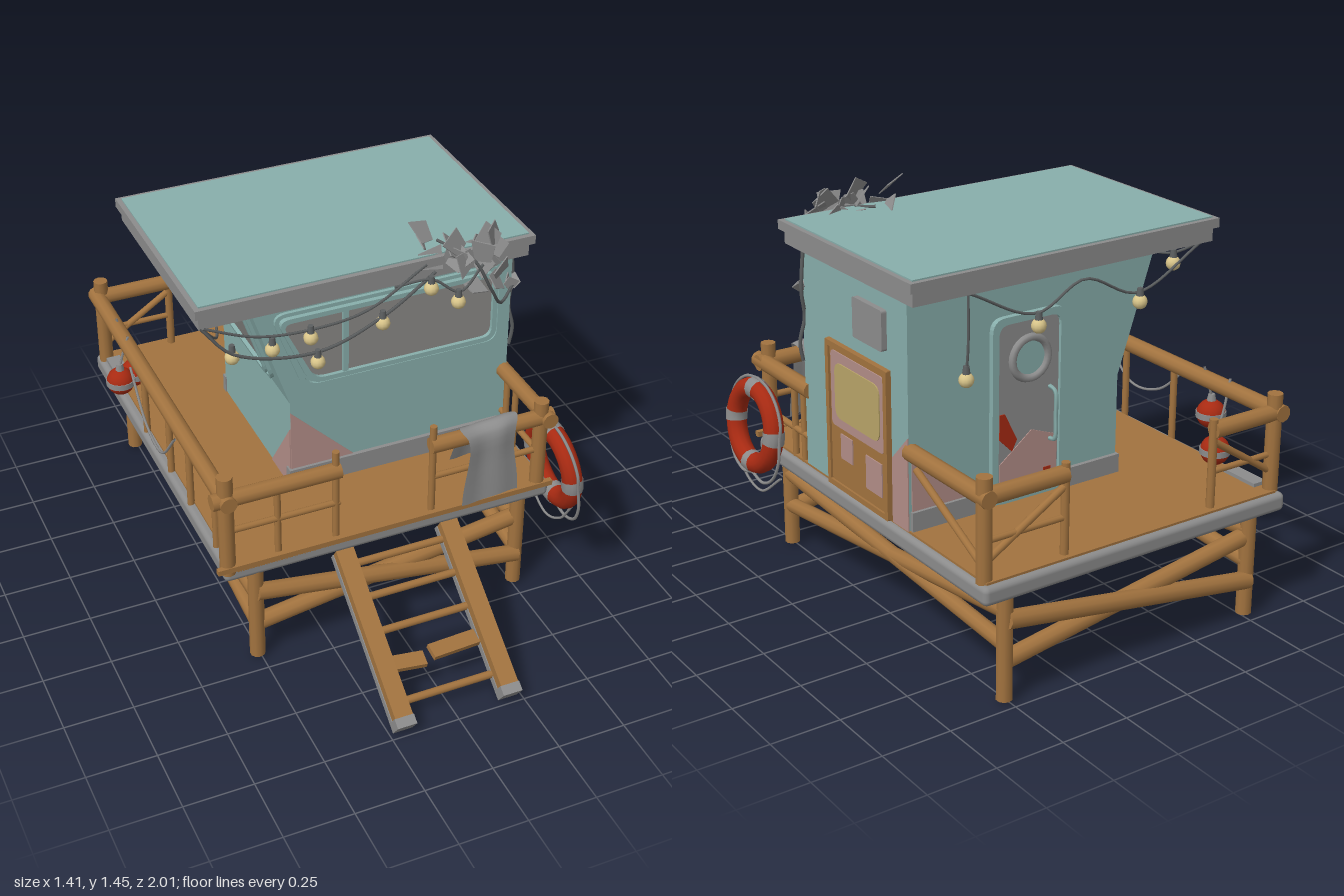
import * as THREE from 'three';
import { RoundedBoxGeometry } from 'three/addons/geometries/RoundedBoxGeometry.js';

const V = (x, y, z) => new THREE.Vector3(x, y, z);

function mat(name, color, side = THREE.FrontSide) {
  const m = new THREE.MeshStandardMaterial({ color, side });
  m.name = name;
  return m;
}

export function createModel() {
  const root = new THREE.Group();
  root.name = 'beachHut';
  const wood = mat('wood', 0xa2733f), grey = mat('weatheredGrey', 0x8c8c8c, THREE.DoubleSide);
  const teal = mat('tealPaint', 0x88aeab), pink = mat('wornPink', 0xb38e88), red = mat('red', 0xa82a12);
  const cream = mat('bulbCream', 0xd9c58a), yellow = mat('curtainYellow', 0xb9a468), glass = mat('glass', 0x8a8886);
  const wire = mat('wire', 0x5c5f60);

  const add = (name, geo, m, parent = root) => {
    const mesh = new THREE.Mesh(geo, m);
    mesh.name = name;
    parent.add(mesh);
    return mesh;
  };
  // box given by its min and max on each axis
  const box = (name, m, x0, x1, y0, y1, z0, z1, parent) => {
    const b = add(name, new THREE.BoxGeometry(x1 - x0, y1 - y0, z1 - z0), m, parent);
    b.position.set((x0 + x1) / 2, (y0 + y1) / 2, (z0 + z1) / 2);
    return b;
  };
  // round pole between two points
  const pole = (name, a, b, r, m = wood) => {
    const p = add(name, new THREE.CylinderGeometry(r, r, a.distanceTo(b), 10), m);
    p.position.copy(a).lerp(b, 0.5);
    p.quaternion.setFromUnitVectors(V(0, 1, 0), b.clone().sub(a).normalize());
    return p;
  };
  const cord = (name, pts, r, m = wire, parent = root) => add(name,
    new THREE.TubeGeometry(new THREE.CatmullRomCurve3(pts.map(p => V(...p))), pts.length * 6, r, 5), m, parent);
  // polygon with rounded corners
  const rounded = (pts, r) => {
    const s = new THREE.Shape(), n = pts.length, P = pts.map(p => new THREE.Vector2(...p));
    P.forEach((p, i) => {
      const a = P[(i + n - 1) % n].clone().sub(p).setLength(r).add(p);
      const b = P[(i + 1) % n].clone().sub(p).setLength(r).add(p);
      i ? s.lineTo(a.x, a.y) : s.moveTo(a.x, a.y);
      s.quadraticCurveTo(p.x, p.y, b.x, b.y);
    });
    s.closePath();
    return s;
  };
  const rect = (x0, x1, y0, y1) => [[x0, y0], [x1, y0], [x1, y1], [x0, y1]];
  const inset = (pts, d) => {
    const cx = pts.reduce((s, p) => s + p[0], 0) / pts.length, cy = pts.reduce((s, p) => s + p[1], 0) / pts.length;
    return pts.map(([x, y]) => [x - d * Math.sign(x - cx), y - d * Math.sign(y - cy)]);
  };
  const plate = (name, m, pts, r, depth, parent, hole) => {
    const s = r ? rounded(pts, r) : new THREE.Shape(pts.map(p => new THREE.Vector2(...p)));
    if (hole) s.holes.push(rounded(inset(pts, hole), r * 0.8));
    return add(name, new THREE.ExtrudeGeometry(s, { depth, bevelEnabled: false, curveSegments: 6 }), m, parent);
  };
  // wall group whose local z points out of the wall
  const wall = (name, ax, ay, origin) => {
    const g = new THREE.Group();
    g.name = name;
    g.matrix.makeBasis(ax, ay, ax.clone().cross(ay)).setPosition(origin);
    g.matrix.decompose(g.position, g.quaternion, g.scale);
    root.add(g);
    return g;
  };

  // legs and cross braces
  const LX = 0.51, ZF = 0.42, ZB = -0.95;
  for (const x of [-LX, LX]) {
    for (const z of [ZF, ZB]) pole('leg', V(x, 0.02, z), V(x, 0.42, z), 0.028);
    pole('sideBrace', V(x, 0.3, ZF), V(x, 0.22, ZB), 0.028);
    pole('sideBrace', V(x, 0.17, ZF), V(x, 0.34, ZB), 0.028);
  }
  for (const z of [ZF, ZB]) for (const s of [-1, 1])
    pole('crossBrace', V(-LX * s, 0.31, z + 0.012 * s), V(LX * s, 0.15, z + 0.012 * s), 0.032);

  // deck with rounded edge beams
  box('deck', wood, -0.6, 0.6, 0.435, 0.472, -0.98, 0.45);
  box('deckLip', wood, -0.66, 0.62, 0.457, 0.477, 0.45, 0.47);
  const edge = (w, d, x, z) => add('edgeBeam', new RoundedBoxGeometry(w, 0.068, d, 2, 0.02), grey).position.set(x, 0.43, z);
  for (const x of [-0.595, 0.585]) edge(0.07, 1.45, x, -0.275);
  edge(1.2, 0.05, 0, 0.425);
  edge(1.2, 0.05, 0, -0.975);
  box('loosePlank', grey, -0.61, -0.555, 0.47, 0.485, -0.92, -0.75);

  // stairs
  const dir = V(0, -0.36, 0.51).normalize(), tilt = Math.atan2(0.36, 0.51);
  for (const x of [-0.2, 0.2]) {
    const g = new THREE.Group();
    g.name = 'stringer';
    g.position.set(x, 0.225, 0.725);
    g.rotation.x = tilt;
    root.add(g);
    box('stringerTop', wood, -0.033, 0.033, -0.005, 0.033, -0.32, 0.29, g);
    box('stringerUnderside', grey, -0.036, 0.036, -0.033, -0.005, -0.32, 0.3, g);
    box('stringerFoot', grey, -0.036, 0.036, -0.033, 0.034, 0.29, 0.325, g);
  }
  for (const i of [0, 1, 2, 4]) pole('rung', V(-0.17, 0.375 - i * 0.074, 0.5 + i * 0.102), V(0.17, 0.375 - i * 0.074, 0.5 + i * 0.102), 0.014);
  for (const [s, y, len] of [[-1, 0.145, 0.13], [1, 0.16, 0.19]]) {
    const b = box('brokenRung', wood, -len / 2, len / 2, -0.01, 0.01, -0.028, 0.028);
    b.position.set(s * (0.17 - len / 2), y, 0.8);
    b.rotation.set(0.3, 0.08 * s, -0.08);
  }

  // railings
  const rail = (a, b, y = 0.75, r = 0.03) => pole('rail', V(a[0], y, a[1]), V(b[0], y, b[1]), r);
  const post = (x, z, top = 0.83, r = 0.027, y0 = 0.46) => pole('post', V(x, y0, z), V(x, top, z), r);
  post(-0.615, 0.44, 0.845, 0.028, 0.44);
  post(0.57, 0.44, 0.82);
  post(-0.6, ZB, 0.82);
  post(0.59, ZB, 0.82);
  rail([-0.665, 0.44], [-0.2, 0.44]);
  rail([0.14, 0.44], [0.615, 0.44]);
  rail([-0.62, 0.44], [-0.2, 0.44], 0.615, 0.012);
  rail([0.15, 0.44], [0.57, 0.44], 0.615, 0.012);
  for (const x of [-0.215, 0.15]) post(x, 0.44, 0.83, 0.013);
  for (const x of [-0.43, 0.36]) post(x, 0.44, 0.74, 0.012);
  rail([-0.615, 0.48], [-0.615, -0.98]);
  for (const z of [-0.42, -0.15, 0.06, 0.32]) post(-0.61, z, 0.75, 0.013);
  rail([0.59, 0.48], [0.59, 0.1]);
  rail([0.59, 0.44], [0.59, 0.12], 0.57, 0.012);
  for (const z of [0.22, 0.155]) post(0.59, z, 0.75, 0.012);
  rail([0.59, -0.53], [0.59, -0.98]);
  pole('railBrace', V(0.59, 0.7, -0.57), V(0.59, 0.52, -0.93), 0.013);
  for (const [x0, x1] of [[-0.62, -0.33], [0.6, 0.28]]) {
    rail([x0, ZB], [x1, ZB]);
    post(x1, ZB, 0.79, 0.015);
    pole('railBrace', V(x0, 0.52, ZB), V(x1, 0.71, ZB), 0.013);
    rail([x0, ZB], [x1, ZB], 0.6, 0.011);
  }

  // cabin body: outline pushed back along z
  const cabin = plate('cabin', teal, [[-0.25, 0.47], [0.6, 0.47], [0.6, 1.28], [-0.4, 1.28], [-0.25, 0.83]], 0, 0.66, root);
  cabin.position.z = -0.54;
  box('frontSkirt', grey, -0.26, 0.57, 0.47, 0.55, 0.1, 0.135);
  box('backSkirt', grey, 0.3, 0.595, 0.47, 0.54, -0.555, -0.53);
  box('backSkirt', grey, -0.255, -0.03, 0.47, 0.54, -0.555, -0.53);

  // roof
  box('roofBand', grey, -0.595, 0.62, 1.265, 1.315, -0.605, 0.195);
  box('roofTrim', grey, -0.61, 0.636, 1.315, 1.348, -0.62, 0.21);
  box('roofSheet', teal, -0.592, 0.618, 1.346, 1.353, -0.602, 0.192);

  const front = wall('frontWall', V(1, 0, 0), V(0, 1, 0), V(0, 0, 0.12));
  const back = wall('backWall', V(-1, 0, 0), V(0, 1, 0), V(0, 0, -0.54));
  const right = wall('doorWall', V(0, 0, -1), V(0, 1, 0), V(0.6, 0, 0));
  const left = wall('lowerSideWall', V(0, 0, 1), V(0, 1, 0), V(-0.25, 0, 0));
  const slant = wall('slantedWall', V(0, 0, 1), V(-0.15, 0.45, 0).normalize(), V(-0.25, 0.83, 0));

  // windows with a double frame
  const win = (g, pts) => {
    plate('windowGlass', glass, inset(pts, 0.03), 0.05, 0.006, g);
    plate('windowOuterFrame', teal, pts, 0.06, 0.013, g, 0.014);
    plate('windowInnerFrame', teal, inset(pts, 0.021), 0.05, 0.02, g, 0.018);
  };
  win(front, [[-0.2, 0.885], [0.56, 0.885], [0.56, 1.21], [-0.32, 1.21]]);
  box('mullion', teal, -0.055, -0.035, 0.91, 1.18, 0, 0.018, front);
  win(slant, rect(-0.46, 0.04, 0.05, 0.41));

  // worn paint patches
  plate('paintPatch', pink, [[-0.25, 0.55], [-0.01, 0.55], [-0.25, 0.79]], 0, 0.004, front);
  plate('paintPatch', pink, [[-0.59, 0.54], [-0.32, 0.54], [-0.59, 0.77]], 0, 0.004, back);
  plate('paintPatch', pink, [[0.445, 0.47], [0.54, 0.47], [0.54, 0.8], [0.445, 0.7]], 0, 0.004, right);
  plate('paintPatch', pink, [[-0.06, 0.47], [0.12, 0.47], [0.12, 0.72]], 0, 0.004, left);

  // wooden side door and vent
  plate('sideDoor', wood, rect(0.055, 0.44, 0.472, 1.0), 0, 0.012, right);
  plate('sideDoorFrame', wood, rect(0.055, 0.44, 0.472, 1.0), 0.004, 0.02, right, 0.02);
  plate('doorWornPaint', pink, rect(0.085, 0.415, 0.7, 0.97), 0.02, 0.016, right);
  plate('doorCurtain', yellow, rect(0.115, 0.395, 0.735, 0.935), 0.04, 0.02, right);
  plate('doorPatch', pink, rect(0.14, 0.215, 0.59, 0.68), 0, 0.016, right);
  plate('doorPatch', pink, rect(0.3, 0.4, 0.54, 0.66), 0, 0.016, right);
  plate('vent', grey, rect(0.24, 0.42, 1.06, 1.2), 0.01, 0.02, right);

  // back door with porthole and handle
  const doorPts = rect(-0.285, 0.015, 0.48, 1.14);
  plate('backDoor', grey, inset(doorPts, 0.02), 0.04, 0.008, back);
  plate('backDoorFrame', teal, doorPts, 0.05, 0.02, back, 0.025);
  plate('backDoorWornPaint', pink, [[-0.25, 0.51], [-0.015, 0.51], [-0.015, 0.68], [-0.12, 0.72], [-0.25, 0.62]], 0, 0.011, back);
  plate('redFlake', red, [[-0.25, 0.71], [-0.2, 0.66], [-0.18, 0.7], [-0.23, 0.8], [-0.25, 0.8]], 0, 0.012, back);
  plate('redFlake', red, rect(-0.07, -0.04, 0.52, 0.57), 0, 0.013, back);
  add('portholeRing', new THREE.TorusGeometry(0.072, 0.014, 8, 28), grey, back).position.set(-0.13, 0.98, 0.012);
  add('portholeGlass', new THREE.CircleGeometry(0.07, 28), teal, back).position.set(-0.13, 0.98, 0.012);
  cord('doorHandle', [[-0.045, 0.67, 0], [-0.045, 0.68, 0.04], [-0.045, 0.76, 0.045], [-0.045, 0.85, 0.04], [-0.045, 0.86, 0]], 0.008, teal, back);

  // towel draped over the front rail
  const path = new THREE.CatmullRomCurve3([V(0, 0.49, 0.482), V(0, 0.65, 0.48), V(0, 0.77, 0.476), V(0, 0.793, 0.44), V(0, 0.76, 0.395), V(0, 0.6, 0.35)]);
  const towel = new THREE.PlaneGeometry(0.2, 1, 10, 18), tp = towel.attributes.position;
  for (let i = 0; i < tp.count; i++) {
    const x = tp.getX(i), t = tp.getY(i) + 0.5, p = path.getPoint(t);
    tp.setXYZ(i, 0.36 + x * (1 + 0.12 * Math.cos(t * 11)), p.y + 0.008 * Math.sin(x * 28), p.z + 0.005 * Math.sin(x * 45));
  }
  towel.computeVertexNormals();
  add('towel', towel, grey);

  // life ring with bands and grab rope
  const ring = new THREE.Group(), ringTilt = new THREE.Group();
  ring.name = 'lifeRing';
  ring.rotation.y = Math.PI / 2;
  ringTilt.name = 'lifeRingMount';
  ringTilt.position.set(0.645, 0.52, 0.425);
  ringTilt.rotation.z = 0.1;
  ringTilt.add(ring);
  root.add(ringTilt);
  add('ringBody', new THREE.TorusGeometry(0.14, 0.037, 12, 40), red, ring);
  for (let i = 0; i < 4; i++) {
    const a = i * Math.PI / 2;
    add('ringBand', new THREE.TorusGeometry(0.14, 0.04, 12, 6, 0.3), grey, ring).rotation.z = a - 0.15;
    const pts = [0, 0.25, 0.5, 0.75, 1].map(t => {
      const q = a + t * Math.PI / 2, r = 0.182 + 0.02 * Math.sin(t * Math.PI);
      return [r * Math.cos(q), r * Math.sin(q) - 0.02 * Math.sin(t * Math.PI), 0];
    });
    cord('grabRope', pts, 0.006, grey, ring);
  }
  cord('looseRope', [[0.66, 0.4, 0.55], [0.655, 0.3, 0.48], [0.645, 0.27, 0.4], [0.63, 0.36, 0.27]], 0.005, grey);

  // hanging float buoys
  for (const [x, y, z] of [[-0.655, 0.605, -0.575], [-0.56, 0.535, -0.71]]) {
    add('buoy', new THREE.SphereGeometry(0.053, 16, 12), red).position.set(x, y, z);
    add('buoyBand', new THREE.CylinderGeometry(0.055, 0.055, 0.022, 16), grey).position.set(x, y, z);
    add('buoyCap', new THREE.CylinderGeometry(0.012, 0.018, 0.03, 8), grey).position.set(x, y + 0.06, z);
    cord('buoyRope', [[x, y + 0.06, z], [(x - 0.615) / 2, y + 0.13, z], [-0.615, 0.79, z]], 0.005, grey);
  }
  cord('railRope', [[-0.65, 0.74, -0.45], [-0.655, 0.6, -0.28], [-0.655, 0.58, -0.12], [-0.65, 0.74, 0.04]], 0.005, grey);

  // string lights
  cord('lightWire', [[-0.59, 1.27, 0.19], [-0.48, 1.15, 0.21], [-0.185, 1.09, 0.22], [0.055, 1.17, 0.22], [0.25, 1.3, 0.22]], 0.006);
  cord('lightWire', [[-0.58, 1.27, 0.2], [-0.4, 1.2, 0.21], [-0.21, 1.185, 0.22], [0, 1.21, 0.22], [0.22, 1.33, 0.21]], 0.005);
  cord('lightWire', [[0.1, 1.27, 0.21], [0.23, 1.28, 0.23], [0.33, 1.22, 0.25], [0.42, 1.3, 0.24]], 0.005);
  cord('lightWire', [[-0.59, 1.27, 0.19], [-0.5, 1.16, 0.1], [-0.45, 1.22, -0.2], [-0.48, 1.22, -0.52], [-0.55, 1.27, -0.6]], 0.005);
  cord('lightWire', [[-0.55, 1.27, -0.6], [-0.28, 1.14, -0.6], [-0.05, 1.23, -0.6], [0.14, 1.15, -0.6], [0.41, 1.27, -0.6]], 0.005);
  cord('lightWire', [[0.41, 1.27, -0.6], [0.41, 1.1, -0.6], [0.41, 1.0, -0.59]], 0.005);
  const bulbs = [[-0.48, 1.19, -0.54], [-0.467, 1.1, 0.15], [-0.345, 1.135, 0.21], [-0.21, 1.153, 0.22], [-0.185, 1.05, 0.22],
    [0.055, 1.145, 0.22], [0.23, 1.245, 0.23], [0.325, 1.18, 0.25], [0.41, 0.975, -0.59], [0.14, 1.11, -0.61], [-0.28, 1.11, -0.61]];
  for (const [x, y, z] of bulbs) {
    add('bulb', new THREE.SphereGeometry(0.026, 12, 8), cream).position.set(x, y, z);
    add('bulbSocket', new THREE.CylinderGeometry(0.01, 0.014, 0.03, 8), wire).position.set(x, y + 0.034, z);
  }

  // climbing vine and leaves
  cord('vine', [[0.3, 1.36, 0.12], [0.38, 1.33, 0.24], [0.45, 1.2, 0.25], [0.52, 1.1, 0.2], [0.605, 1.12, 0.13]], 0.006);
  cord('vine', [[0.605, 1.26, 0.1], [0.615, 1.12, 0.1], [0.6, 1.02, 0.11], [0.615, 0.93, 0.12], [0.605, 0.86, 0.12]], 0.007);
  let seed = 7;
  const rnd = () => (seed = (seed * 16807) % 2147483647) / 2147483647 - 0.5;
  const leaf = (x, y, z, s) => {
    const l = plate('leaf', grey, [[-0.3 * s, -0.5 * s], [0.35 * s, -0.45 * s], [0.5 * s, 0.4 * s], [-0.5 * s, 0.5 * s]], 0, 0.004, root);
    l.position.set(x, y, z);
    l.rotation.set(rnd() * 1.8 - 0.4, rnd() * 1.8, rnd() * 5);
  };
  for (let i = 0; i < 16; i++) leaf(0.36 + rnd() * 0.26, 1.365 + rnd() * 0.13, 0.18 + rnd() * 0.18, 0.085);
  for (let i = 0; i < 5; i++) leaf(0.44 + rnd() * 0.08, 1.24 + rnd() * 0.13, 0.25 + rnd() * 0.06, 0.075);
  for (let i = 0; i < 3; i++) leaf(0.605 + rnd() * 0.04, 1.115 + rnd() * 0.05, 0.13 + rnd() * 0.04, 0.05);

  return root;
}
